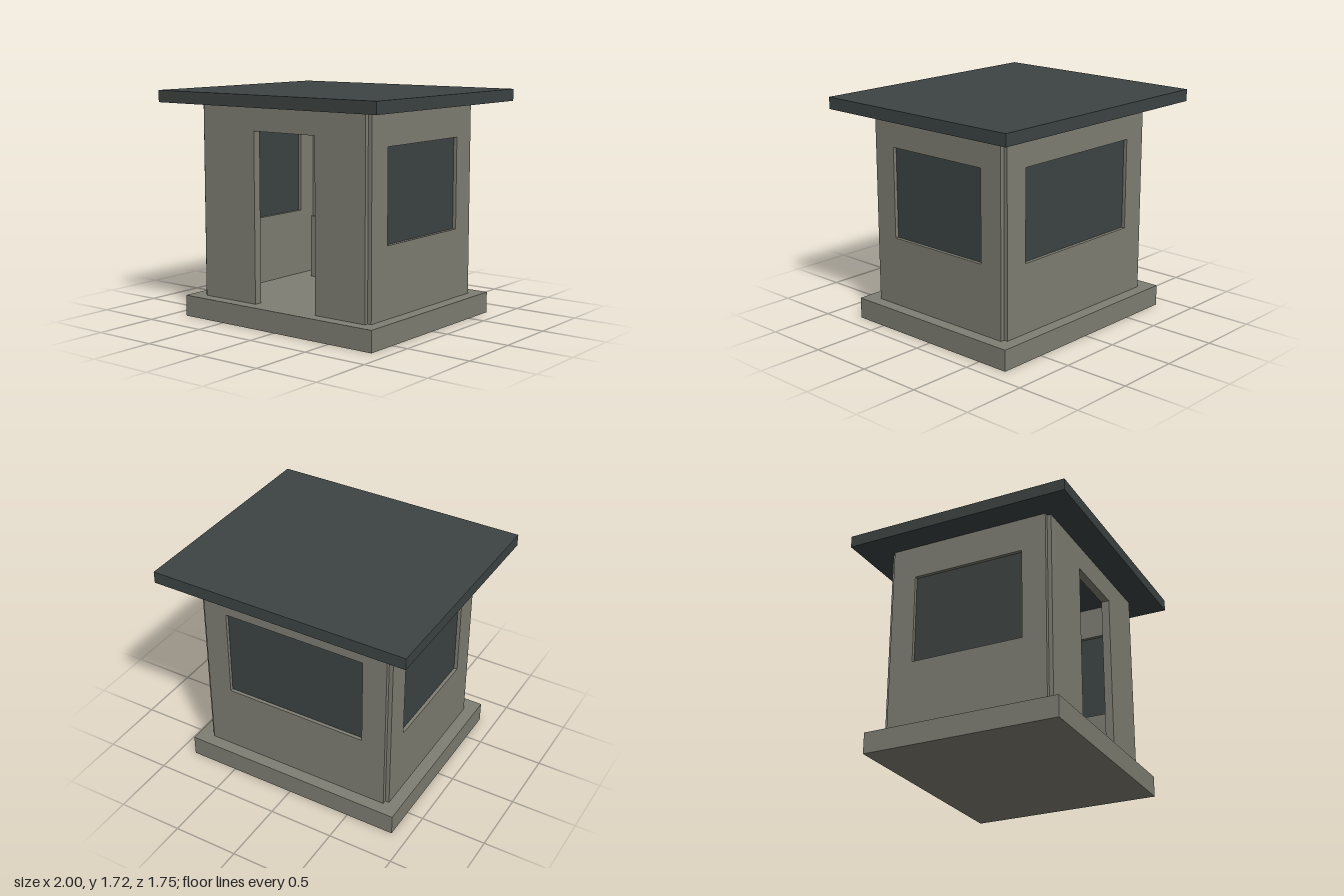
import * as THREE from 'three';

const FLOOR = 0.16, EAVES = 1.63, THICK = 0.0625;
const SILL = 0.685, HEAD = 1.375;

export function createModel() {
  const booth = new THREE.Group();
  booth.name = 'guardBooth';
  const concrete = new THREE.MeshStandardMaterial({ name: 'concrete', color: 0x7f7e73 });
  const slate = new THREE.MeshStandardMaterial({ name: 'darkSlate', color: 0x3d4443 });

  const box = (name, parent, material, size, position) => {
    const mesh = new THREE.Mesh(new THREE.BoxGeometry(...size), material);
    mesh.name = name;
    mesh.position.set(...position);
    parent.add(mesh);
  };

  const rectangle = (path, x0, x1, y0, y1) =>
    path.moveTo(x0, y0).lineTo(x1, y0).lineTo(x1, y1).lineTo(x0, y1).closePath();

  // Wall panel centred on its own plane, facing local +z
  const addPanel = (name, parent, shape) => {
    const geometry = new THREE.ExtrudeGeometry(shape, { depth: THICK, bevelEnabled: false });
    geometry.translate(0, 0, -THICK / 2);
    const mesh = new THREE.Mesh(geometry, concrete);
    mesh.name = name;
    parent.add(mesh);
  };

  // Wall with a pane set in the middle of its thickness
  const addWindowWall = (name, halfWidth, halfWindow, distance, angle) => {
    const wall = new THREE.Group();
    wall.name = name;
    const shape = new THREE.Shape();
    rectangle(shape, -halfWidth, halfWidth, FLOOR, EAVES);
    const hole = new THREE.Path();
    rectangle(hole, -halfWindow, halfWindow, SILL, HEAD);
    shape.holes.push(hole);
    addPanel(name + 'Panel', wall, shape);
    box(name + 'Glass', wall, slate,
      [halfWindow * 2, HEAD - SILL, 0.009], [0, (SILL + HEAD) / 2, 0]);
    wall.rotation.y = angle;
    wall.position.set(Math.sin(angle) * distance, 0, Math.cos(angle) * distance);
    booth.add(wall);
  };

  // Base slab and flat overhanging roof
  box('baseSlab', booth, concrete, [1.75, FLOOR, 1.5], [0, FLOOR / 2, 0]);
  box('roof', booth, slate, [2, 0.09, 1.75], [0, EAVES + 0.045, 0]);

  // Back and side walls, notched at the corners
  addWindowWall('backWall', 0.75, 0.5625, 0.625, Math.PI);
  addWindowWall('leftWall', 0.625, 0.4375, 0.75, Math.PI / 2);
  addWindowWall('rightWall', 0.625, 0.4375, 0.75, -Math.PI / 2);

  // Front wall outlined around the open doorway
  const front = new THREE.Group();
  front.name = 'frontWall';
  front.position.z = 0.625;
  const outline = [
    [-0.75, FLOOR], [-0.255, FLOOR], [-0.255, 1.44], [0.31, 1.44],
    [0.31, FLOOR], [0.75, FLOOR], [0.75, EAVES], [-0.75, EAVES],
  ].map(([x, y]) => new THREE.Vector2(x, y));
  addPanel('frontWallPanel', front, new THREE.Shape(outline));
  booth.add(front);

  // Desk against the back wall
  box('desk', booth, concrete, [1.14, 0.5, 0.214], [0, FLOOR + 0.25, -0.487]);

  return booth;
}
